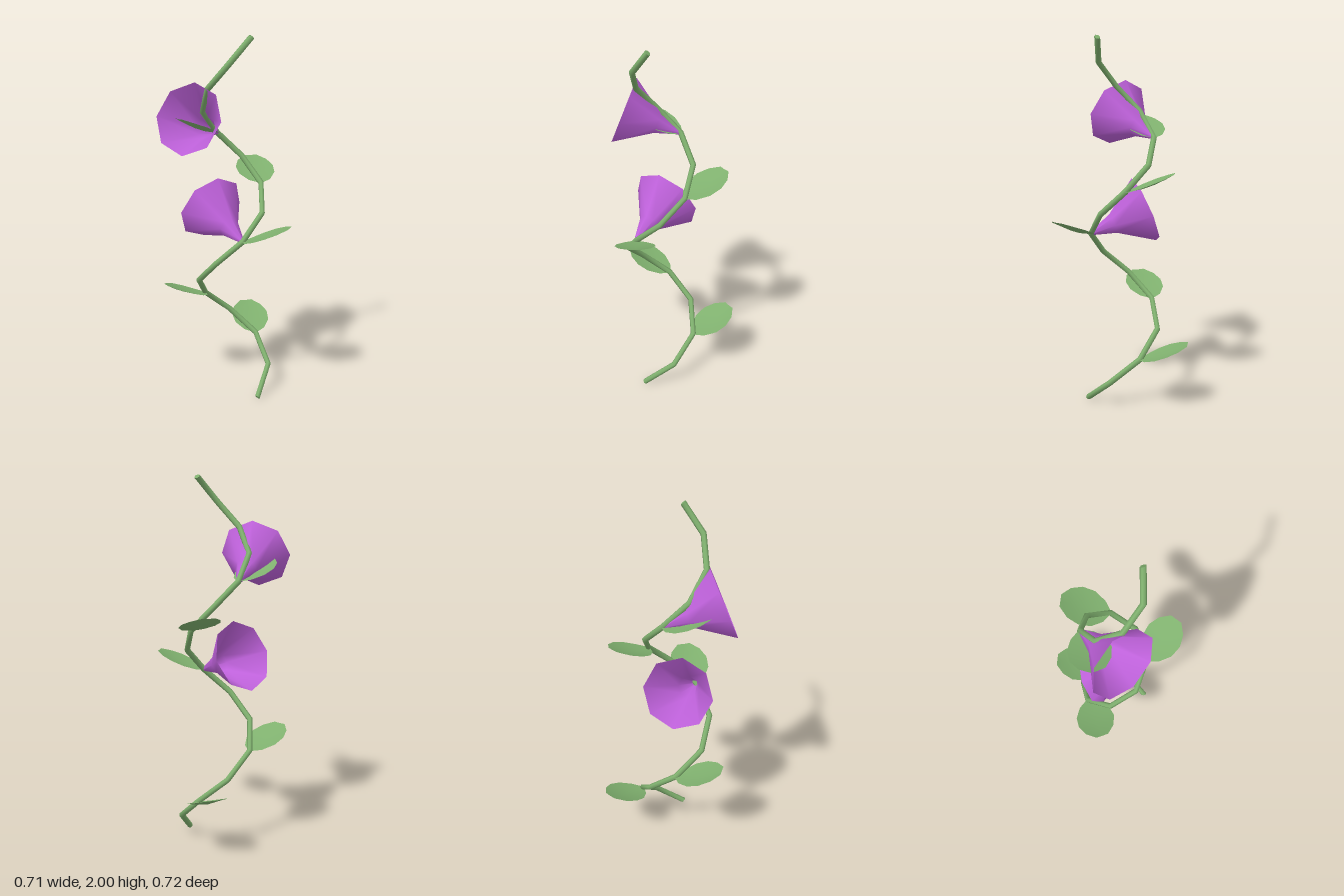
import * as THREE from 'three';

const green = new THREE.MeshStandardMaterial({ name: 'leafGreen', color: 0x7fb06e, side: THREE.DoubleSide });
const purple = new THREE.MeshStandardMaterial({ name: 'petalPurple', color: 0xbe61da, side: THREE.DoubleSide });

const STEPS = 15;
const STEM_RADIUS = 0.016;

// Two-turn helix that narrows towards the top
class VineCurve extends THREE.Curve {
  getPoint(t, target = new THREE.Vector3()) {
    const a = t * Math.PI * 4;
    const r = 0.208 - 0.06 * t;
    return target.set(-0.05 + r * Math.cos(a), 0.012 + 1.978 * t, 0.015 - r * Math.sin(a));
  }
  getUtoTmapping(u) { return u; }
}

// Rounded, slightly cupped blade running along +z and curling upwards
function leafGeometry() {
  const half = [0.012, 0.06, 0.1, 0.107, 0.083, 0.035];
  const along = [0, 0.12, 0.35, 0.6, 0.83, 1];
  const geo = new THREE.PlaneGeometry(1, 1, 2, 5);
  const p = geo.attributes.position;
  for (let i = 0; i < p.count; i++) {
    const row = Math.round((p.getY(i) + 0.5) * 5);
    const t = along[row];
    const x = -2 * p.getX(i) * half[row];
    p.setXYZ(i, x, 0.1 * (0.25 * t + 0.75 * t * t) + 1.6 * x * x, 0.257 * t);
  }
  geo.computeVertexNormals();
  return geo;
}

// Eight-sided trumpet opening along +y
function flowerGeometry() {
  const profile = [[0.01, 0], [0.058, 0.135], [0.193, 0.325]];
  return new THREE.LatheGeometry(profile.map(([r, y]) => new THREE.Vector2(r, y)), 8);
}

export function createModel() {
  const group = new THREE.Group();
  const curve = new VineCurve();

  // Twining stem
  const stem = new THREE.Mesh(new THREE.TubeGeometry(curve, STEPS, STEM_RADIUS, 6, false), green);
  stem.name = 'stem';
  group.add(stem);

  // Closed stem ends
  for (const [t, sign, name] of [[0, -1, 'stemBottomCap'], [1, 1, 'stemTopCap']]) {
    const cap = new THREE.Mesh(new THREE.CircleGeometry(STEM_RADIUS, 6), green);
    cap.name = name;
    cap.position.copy(curve.getPoint(t));
    cap.quaternion.setFromUnitVectors(new THREE.Vector3(0, 0, 1), curve.getTangentAt(t).multiplyScalar(sign));
    group.add(cap);
  }

  // Leaves: stem joint and heading in x, z
  const leafGeo = leafGeometry();
  const leaves = [[2, -0.87, -0.49], [4, -0.06, 1], [7, 0.88, -0.46], [9, -0.87, -0.49], [11, -0.04, 1]];
  leaves.forEach(([joint, dx, dz], i) => {
    const leaf = new THREE.Mesh(leafGeo, green);
    leaf.name = `leaf${i + 1}`;
    leaf.position.copy(curve.getPoint(joint / STEPS));
    leaf.rotation.y = Math.atan2(dx, dz);
    group.add(leaf);
  });

  // Flowers: stem joint and direction of the opening
  const flowerGeo = flowerGeometry();
  const flowers = [[7, -0.296, 0.12, -0.035], [11, 0.107, 0.12, 0.29]];
  flowers.forEach(([joint, x, y, z], i) => {
    const axis = new THREE.Vector3(x, y, z).normalize();
    const side = new THREE.Vector3().crossVectors(axis, new THREE.Vector3(0, 1, 0)).normalize();
    const up = new THREE.Vector3().crossVectors(side, axis);
    const flower = new THREE.Mesh(flowerGeo, purple);
    flower.name = `flower${i + 1}`;
    flower.quaternion.setFromRotationMatrix(new THREE.Matrix4().makeBasis(side, axis, up));
    flower.position.copy(curve.getPoint(joint / STEPS));
    group.add(flower);
  });

  return group;
}
